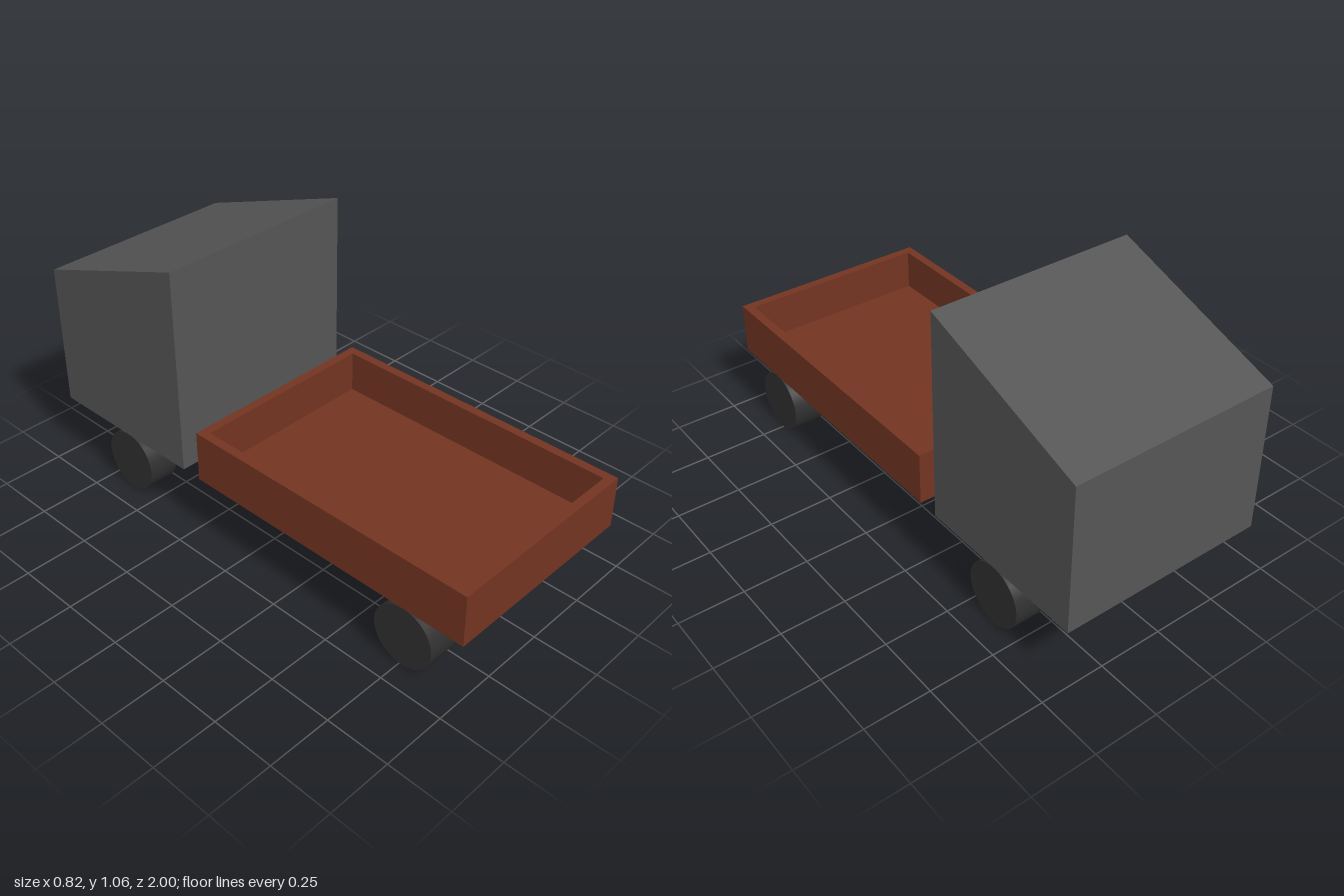
import * as THREE from 'three';

const cabGrey = new THREE.MeshStandardMaterial({ name: 'cabGrey', color: 0x555555 });
const bedBrown = new THREE.MeshStandardMaterial({ name: 'bedBrown', color: 0x733422 });
const tyreBlack = new THREE.MeshStandardMaterial({ name: 'tyreBlack', color: 0x303030 });

const HALF = 0.408; // half width of the whole truck
const BASE = 0.245; // underside of the bodywork, top of the wheels

function add(group, name, geometry, material, x, y, z) {
  const mesh = new THREE.Mesh(geometry, material);
  mesh.name = name;
  mesh.position.set(x, y, z);
  group.add(mesh);
  return mesh;
}

export function createModel() {
  const truck = new THREE.Group();
  truck.name = 'truck';

  // Cab: side profile with a sloping roof, extruded across the width
  const profile = new THREE.Shape([
    new THREE.Vector2(0.31, BASE),
    new THREE.Vector2(1, BASE),
    new THREE.Vector2(1, 0.82),
    new THREE.Vector2(0.31, 1.062),
  ]);
  const cabGeometry = new THREE.ExtrudeGeometry(profile, { depth: HALF * 2, bevelEnabled: false });
  cabGeometry.translate(0, 0, -HALF).rotateY(Math.PI / 2);
  add(truck, 'cab', cabGeometry, cabGrey, 0, 0, 0);

  // Cargo bed: open tray made of a floor and four walls
  const bed = new THREE.Group();
  bed.name = 'cargoBed';
  truck.add(bed);
  const back = -0.225, front = 1, top = 0.45, wall = 0.035, floor = 0.04;
  const length = front - back, midZ = (front + back) / 2;
  const rim = new THREE.Shape();
  const rect = (path, w, h) => path.moveTo(-w, -h).lineTo(w, -h).lineTo(w, h).lineTo(-w, h).closePath();
  rect(rim, HALF, length / 2);
  const opening = new THREE.Path();
  rect(opening, HALF - wall, length / 2 - wall);
  rim.holes.push(opening);
  const walls = new THREE.ExtrudeGeometry(rim, { depth: top - BASE, bevelEnabled: false });
  walls.rotateX(-Math.PI / 2);
  add(bed, 'bedWalls', walls, bedBrown, 0, BASE, midZ);
  add(bed, 'bedFloor', new THREE.BoxGeometry((HALF - wall) * 2, floor, length - wall * 2),
    bedBrown, 0, BASE + floor / 2, midZ);

  // Wheels: two pairs flush with the sides
  const radius = BASE / 2, width = 0.122;
  const wheel = new THREE.CylinderGeometry(radius, radius, width, 48).rotateZ(Math.PI / 2);
  for (const [end, z] of [['front', 0.757], ['rear', -0.632]]) {
    for (const [side, s] of [['Left', 1], ['Right', -1]]) {
      add(truck, end + side + 'Wheel', wheel, tyreBlack, s * (HALF - width / 2), radius, z);
    }
  }
  return truck;
}
